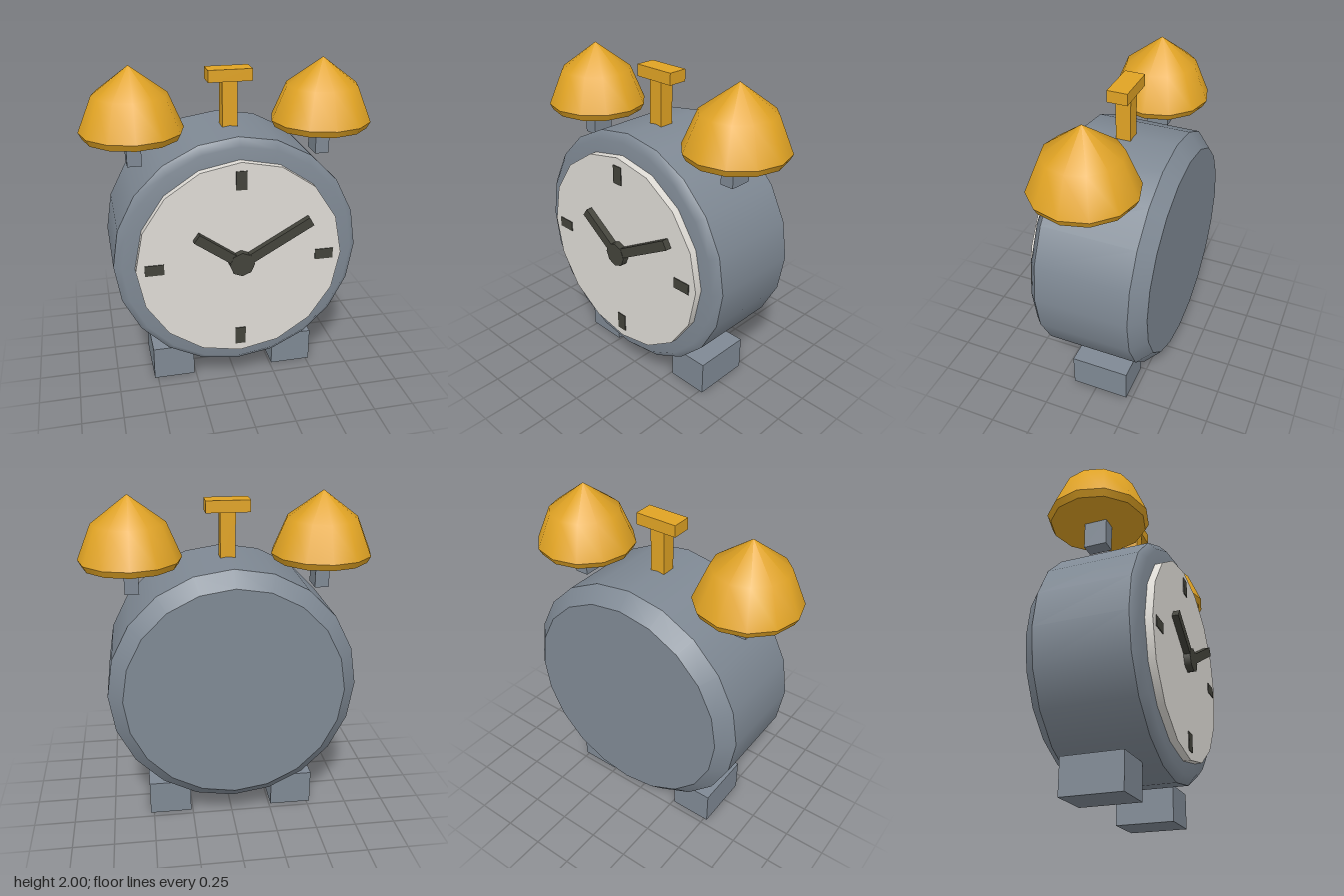
import * as THREE from 'three';

const mat = (name, color, side = THREE.FrontSide) => {
  const m = new THREE.MeshStandardMaterial({ color, side });
  m.name = name;
  return m;
};

export function createModel() {
  const grey = mat('slate grey', 0x7f8994);
  const gold = mat('gold', 0xe0a324);
  const cream = mat('cream', 0xdfdcd6);
  const dark = mat('charcoal', 0x43433b);
  const root = new THREE.Group();
  root.name = 'alarmClock';

  const add = (parent, name, geometry, material, x = 0, y = 0, z = 0) => {
    const mesh = new THREE.Mesh(geometry, material);
    mesh.name = name;
    mesh.position.set(x, y, z);
    parent.add(mesh);
    return mesh;
  };
  const box = (parent, name, w, h, d, material, x, y, z) =>
    add(parent, name, new THREE.BoxGeometry(w, h, d), material, x, y, z);
  // Profile of [radius, height] points; separate lathes keep the edges between them sharp
  const lathe = (points, sides) =>
    new THREE.LatheGeometry(points.map(([r, h]) => new THREE.Vector2(r, h)), sides);

  // Drum-shaped case, turned so its axis runs front to back
  const clockCase = new THREE.Group();
  clockCase.name = 'clockCase';
  clockCase.rotation.x = Math.PI / 2;
  clockCase.position.y = 0.895;
  root.add(clockCase);
  const R = 0.737;
  add(clockCase, 'backPlate', lathe([[0, -0.39], [0.65, -0.39]], 20), grey);
  add(clockCase, 'backBevel', lathe([[0.65, -0.39], [R, -0.305]], 20), grey);
  add(clockCase, 'barrel', lathe([[R, -0.305], [R, 0.262]], 20), grey);
  add(clockCase, 'frontRim', lathe([[R, 0.262], [0.692, 0.305], [0.5, 0.305]], 20), grey);
  add(clockCase, 'dial', new THREE.CylinderGeometry(0.617, 0.617, 0.05, 16), cream, 0, 0.325, 0);

  // Dial markings, hands and hub
  const face = new THREE.Group();
  face.name = 'clockFace';
  face.position.set(0, 0.895, 0.35);
  root.add(face);
  for (let i = 0; i < 4; i++) {
    const a = i * Math.PI / 2;
    const mark = box(face, 'hourMark', 0.112, 0.065, 0.006, dark,
      0.51 * Math.cos(a), 0.51 * Math.sin(a), 0.002);
    mark.rotation.z = a;
  }
  const hand = (name, length, degrees) => {
    const a = THREE.MathUtils.degToRad(degrees);
    const mesh = box(face, name, length, 0.058, 0.04, dark,
      Math.cos(a) * length / 2, Math.sin(a) * length / 2, 0.019);
    mesh.rotation.z = a;
  };
  hand('minuteHand', 0.476, 29.7);
  hand('hourHand', 0.327, 144.5);
  const hub = add(face, 'handHub', new THREE.CylinderGeometry(0.075, 0.075, 0.042, 8), dark, 0, 0, 0.02);
  hub.rotation.x = Math.PI / 2;

  // Bells, their brackets and the feet on both sides
  for (const [side, s] of [['left', 1], ['right', -1]]) {
    const bell = new THREE.Group();
    bell.name = side + 'Bell';
    bell.position.x = s * 0.567;
    root.add(bell);
    add(bell, 'bellDome', lathe([[0.303, 1.632], [0.215, 1.84], [0, 2]], 12), gold);
    add(bell, 'bellLip', lathe([[0.282, 1.592], [0.303, 1.632]], 12), gold);
    add(bell, 'bellUnderside', lathe([[0, 1.592], [0.282, 1.592]], 12), gold);
    box(bell, 'bellBracket', 0.085, 0.18, 0.137, grey, 0, 1.52, 0);
    box(root, side + 'Foot', 0.26, 0.217, 0.368, grey, s * 0.391, 0.1085, -0.029);
  }

  // Striker between the bells
  box(root, 'strikerPost', 0.09, 0.32, 0.09, gold, 0, 1.74, 0);
  box(root, 'strikerHead', 0.26, 0.07, 0.12, gold, 0, 1.927, 0);

  return root;
}
